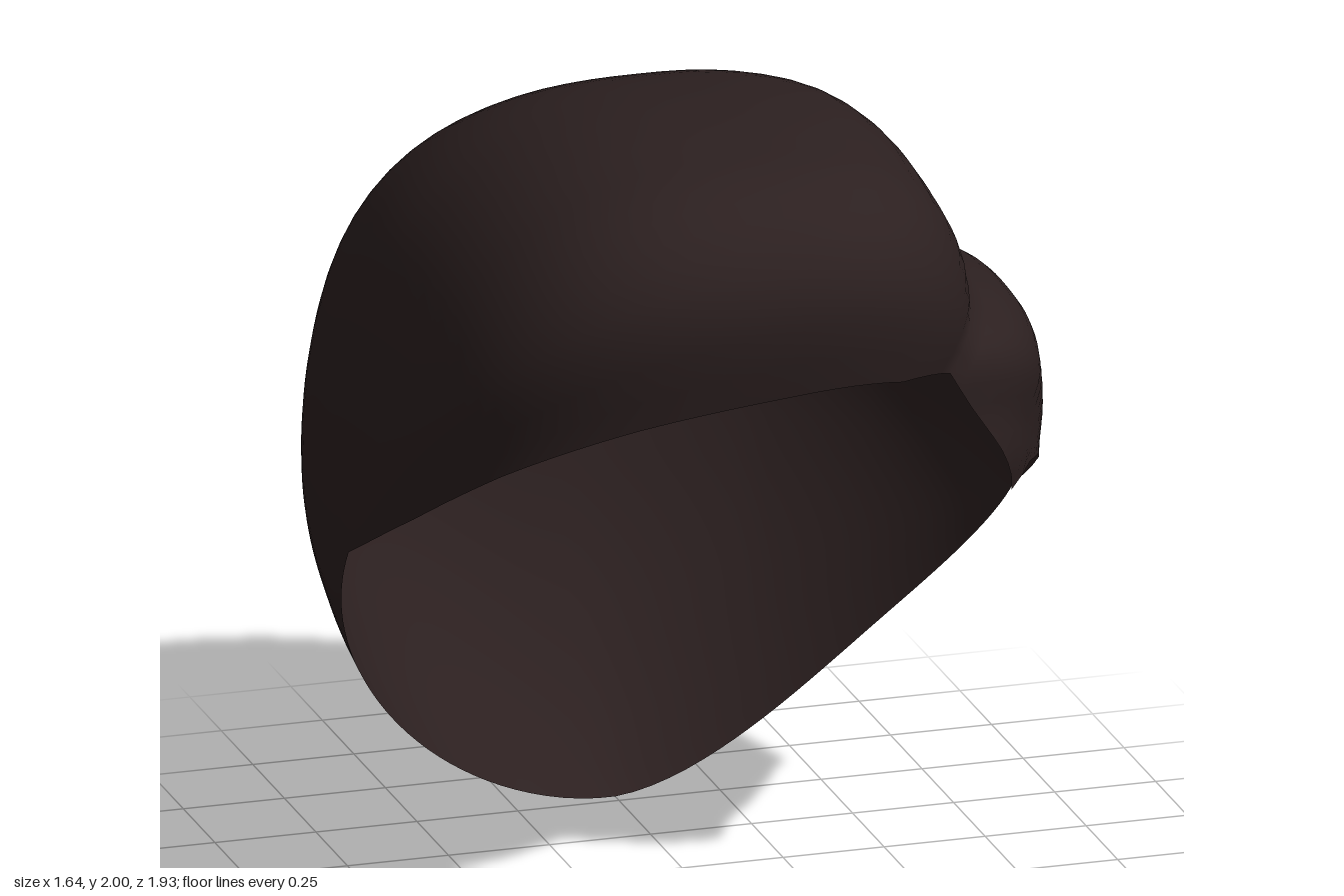
import * as THREE from 'three';

const RAD = Math.PI / 180;
const AXIS_Y = 0.88; // ear-to-ear axis that the sections fan around
const ROWS = 72, COLS = 72;

// Lookup through [position, value] pairs; linear when soft is false.
function lookup(table, x, soft = true) {
  const n = table.length - 1;
  if (x <= table[0][0]) return table[0][1];
  if (x >= table[n][0]) return table[n][1];
  let i = 0;
  while (x > table[i + 1][0]) i++;
  const [x0, y0] = table[i], [x1, y1] = table[i + 1];
  const h = x1 - x0, t = (x - x0) / h;
  if (!soft) return y0 + (y1 - y0) * t;
  const slope = (k) => {
    const a = table[Math.max(k - 1, 0)], b = table[Math.min(k + 1, n)];
    return (b[1] - a[1]) / (b[0] - a[0]);
  };
  const t2 = t * t, t3 = t2 * t;
  return (2 * t3 - 3 * t2 + 1) * y0 + (t3 - 2 * t2 + t) * h * slope(i)
    + (3 * t2 - 2 * t3) * y1 + (t3 - t2) * h * slope(i + 1);
}

// Height of the centre line over the axis, by angle from front (0) over the top (90) to the nape (240)
const CREST = [[18, 0.9], [25, 1.0], [33, 1.09], [41, 1.28], [47.4, 1.345], [54.8, 1.335], [64, 1.246],
  [76, 1.155], [90, 1.09], [112, 1.05], [132, 1.05], [150, 1.01], [173, 0.97], [190, 0.94], [210, 0.95], [229, 0.99], [240, 1.03]];
// Front hairline and nape edge angles, from the left temple (0) across to the right temple (180)
const HAIRLINE = [[0, 31], [20, 30], [35, 27], [40, 25], [45, 19], [47.5, 22], [55, 28.5], [65, 37.5],
  [75, 35], [90, 33.8], [110, 32.3], [130, 30.5], [150, 28], [180, 26]];
const NAPE = [[0, 226], [40, 230], [80, 238], [100, 239], [140, 237], [180, 233]];
// Side parting: its place across the section and its depth
const PART_PLACE = [[37, 65], [53, 57], [90, 48], [113, 49], [135, 53], [160, 60], [240, 65]];
const PART_DEPTH = [[18, 0.08], [37, 0.095], [53, 0.125], [90, 0.145], [113, 0.13], [135, 0.08], [150, 0.035], [165, 0], [240, 0]];
// Squareness of the section on each side of the crest
const SQUARE_LEFT = [[20, 2.2], [55, 2.3], [90, 2.45], [130, 2.2], [180, 2.1], [215, 1.75], [240, 1.6]];
const SQUARE_RIGHT = [[20, 2.7], [55, 2.75], [90, 2.75], [180, 3.0], [215, 2.3], [240, 1.85]];

function superellipse(phi, width, height, n) {
  const c = Math.abs(Math.cos(phi)) / width, s = Math.abs(Math.sin(phi)) / height;
  return Math.pow(Math.pow(c, n) + Math.pow(s, n), -1 / n);
}

function hairPoint(u, q) {
  const start = lookup(HAIRLINE, q, false);
  const theta = start + (lookup(NAPE, q) - start) * u;

  // slide the columns so one always follows the parting
  const part = lookup(PART_PLACE, theta);
  const phiDeg = q < 65 ? q * part / 65 : part + (q - 65) * (180 - part) / 115;
  const phi = phiDeg * RAD;

  const n = lookup(phiDeg < 90 ? SQUARE_LEFT : SQUARE_RIGHT, theta);
  let r = superellipse(phi, phiDeg < 90 ? 0.82 : 0.825, lookup(CREST, theta), n);
  const off = phiDeg - part;
  const fall = Math.max(0, 1 - (off > 0 ? off / 26 : -off / 17));
  r *= 1 - lookup(PART_DEPTH, theta) * fall * fall;

  const rho = r * Math.sin(phi);
  return [r * Math.cos(phi), AXIS_Y + rho * Math.sin(theta * RAD), rho * Math.cos(theta * RAD)];
}

function hairSurface() {
  const positions = [], index = [];
  for (let i = 0; i <= ROWS; i++) {
    for (let j = 0; j <= COLS; j++) positions.push(...hairPoint(i / ROWS, j * 180 / COLS));
  }
  for (let i = 0; i < ROWS; i++) {
    for (let j = 0; j < COLS; j++) {
      const a = i * (COLS + 1) + j, b = a + COLS + 1;
      index.push(a, b, a + 1, b, b + 1, a + 1);
    }
  }
  const geometry = new THREE.BufferGeometry();
  geometry.setAttribute('position', new THREE.Float32BufferAttribute(positions, 3));
  geometry.setIndex(index);
  geometry.computeVertexNormals();
  return geometry;
}

export function createModel() {
  const group = new THREE.Group();
  group.name = 'hairpiece';
  const material = new THREE.MeshStandardMaterial({ color: 0x2c2020, side: THREE.DoubleSide });
  material.name = 'dark brown hair';

  // Thin swept shell of hair with a side parting, open underneath
  const hair = new THREE.Mesh(hairSurface(), material);
  hair.name = 'hairShell';
  group.add(hair);
  return group;
}
